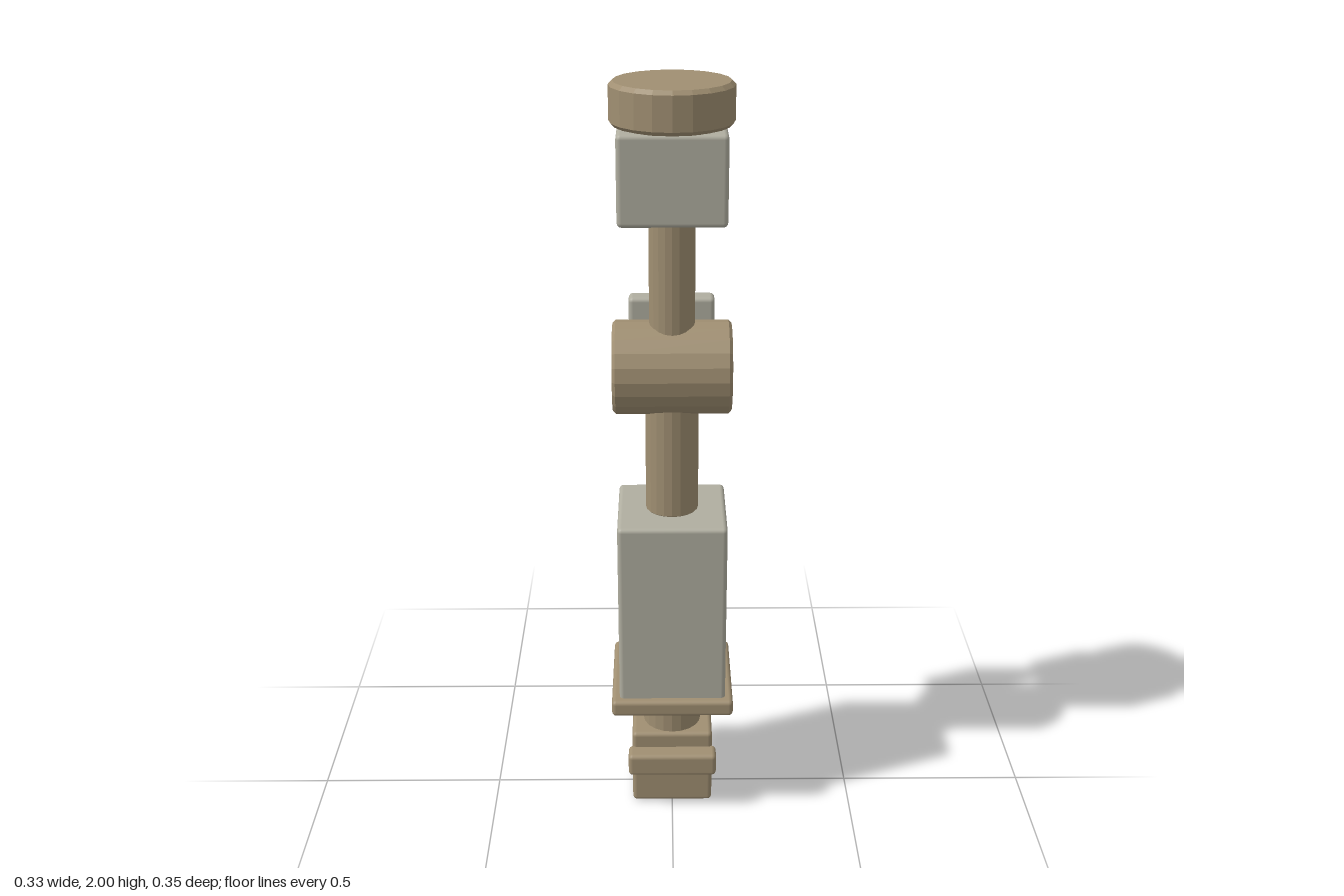
import * as THREE from 'three';
import { RoundedBoxGeometry } from 'three/addons/geometries/RoundedBoxGeometry.js';

const tan = new THREE.MeshStandardMaterial({ color: 0xa08f72 });
tan.name = 'tan metal';
const grey = new THREE.MeshStandardMaterial({ color: 0xb0aea0 });
grey.name = 'pale grey panel';

const AXIS_Z = 0.01; // depth of the arm's centre line

export function createModel() {
  const arm = new THREE.Group();
  arm.name = 'mechanicalArm';

  function add(name, geometry, material, y, z = AXIS_Z) {
    const mesh = new THREE.Mesh(geometry, material);
    mesh.name = name;
    mesh.position.set(0, y, z);
    arm.add(mesh);
    return mesh;
  }

  // Box with softened edges, given by its bottom and top heights
  function box(name, material, width, bottom, top, depth, z, bevel = 0.012) {
    const geometry = new RoundedBoxGeometry(width, top - bottom, depth, 2, bevel);
    return add(name, geometry, material, (bottom + top) / 2, z);
  }

  // Faceted cylinder with a small chamfer on both rims
  function drum(name, material, radius, bottom, top, bevel = 0.008) {
    const h = (top - bottom) / 2;
    const profile = [
      [0, -h], [radius - bevel, -h], [radius, -h + bevel],
      [radius, h - bevel], [radius - bevel, h], [0, h],
    ].map(([r, y]) => new THREE.Vector2(r, y));
    const geometry = new THREE.LatheGeometry(profile, 20).toNonIndexed();
    geometry.computeVertexNormals();
    return add(name, geometry, material, (bottom + top) / 2);
  }

  // Hand with its front knuckle bar
  box('hand', tan, 0.222, 0, 0.226, 0.18, AXIS_Z);
  box('knuckleBar', tan, 0.243, 0.116, 0.182, 0.06, 0.117);
  drum('wrist', tan, 0.08, 0.21, 0.335);

  // Forearm casing with a cuff around its lower end
  box('forearmCuff', tan, 0.328, 0.329, 0.376, 0.328, 0.009);
  box('forearmCasing', grey, 0.286, 0.325, 0.886, 0.286, 0.009);
  drum('forearmRod', tan, 0.069, 0.88, 1.25);

  // Elbow barrel across the arm, with a guard plate behind it
  drum('elbowBarrel', tan, 0.12, 1.129, 1.431).rotation.z = Math.PI / 2;
  box('elbowGuard', grey, 0.224, 1.182, 1.422, 0.057, -0.145);

  // Upper arm and shoulder
  drum('upperArmRod', tan, 0.058, 1.3, 1.69);
  box('upperArmCasing', grey, 0.265, 1.676, 1.897, 0.265, AXIS_Z);
  drum('shoulderCap', tan, 0.152, 1.896, 2, 0.01);

  return arm;
}
